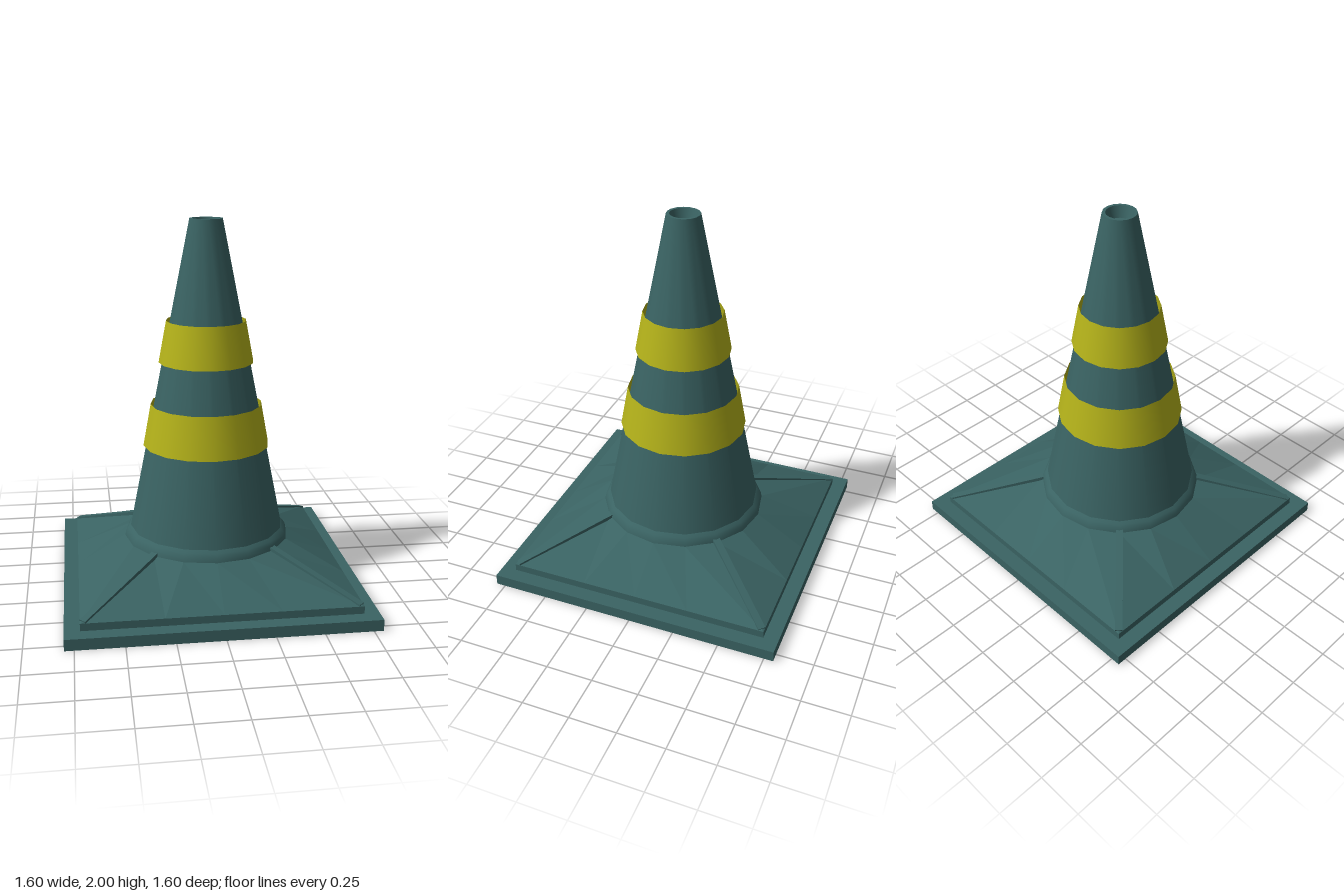
import * as THREE from 'three';

const SIDES = 16;
const teal = new THREE.MeshStandardMaterial({ color: 0x3a6363 });
const tealFlat = new THREE.MeshStandardMaterial({ color: 0x3a6363, flatShading: true });
const yellow = new THREE.MeshStandardMaterial({ color: 0xb5b31a, side: THREE.DoubleSide });

function add(parent, name, geometry, material) {
  const mesh = new THREE.Mesh(geometry, material);
  mesh.name = name;
  parent.add(mesh);
  return mesh;
}

// Surface of revolution; profile is [radius, height] pairs
function lathe(profile) {
  return new THREE.LatheGeometry(profile.map(([r, y]) => new THREE.Vector2(r, y)), SIDES);
}

// Loft from a square outline up to a round one
function skirtGeometry(half, y0, radius, y1) {
  const positions = [];
  const index = [];
  for (let i = 0; i <= SIDES; i++) {
    const a = (i / SIDES) * Math.PI * 2;
    const s = Math.sin(a), c = Math.cos(a);
    const k = half / Math.max(Math.abs(s), Math.abs(c));
    positions.push(s * k, y0, c * k, s * radius, y1, c * radius);
    if (i < SIDES) {
      const p = i * 2;
      index.push(p, p + 2, p + 1, p + 2, p + 3, p + 1);
    }
  }
  const g = new THREE.BufferGeometry();
  g.setAttribute('position', new THREE.Float32BufferAttribute(positions, 3));
  g.setIndex(index);
  g.computeVertexNormals();
  return g;
}

export function createModel() {
  const model = new THREE.Group();
  model.name = 'trafficCone';

  // Square foot: wide plate and a smaller step
  add(model, 'basePlate', new THREE.BoxGeometry(1.6, 0.06, 1.6), teal).position.y = 0.03;
  add(model, 'baseStep', new THREE.BoxGeometry(1.44, 0.05, 1.44), teal).position.y = 0.075;

  // Sloping skirt from the square step to the round collar
  add(model, 'skirt', skirtGeometry(0.72, 0.1, 0.455, 0.262), tealFlat);

  // Raised ribs along the four skirt corners
  const ribs = new THREE.Group();
  ribs.name = 'cornerRibs';
  for (const sx of [-1, 1]) {
    for (const sz of [-1, 1]) {
      const from = new THREE.Vector3(0.705 * sx, 0.097, 0.705 * sz);
      const to = new THREE.Vector3(0.31 * sx, 0.27, 0.31 * sz);
      const rib = add(ribs, 'cornerRib', new THREE.BoxGeometry(0.04, 0.026, from.distanceTo(to)), teal);
      rib.position.copy(from).lerp(to, 0.5);
      rib.lookAt(to);
    }
  }
  model.add(ribs);

  // Rounded collar and tapering body
  add(model, 'collar', lathe([[0.455, 0.26], [0.45, 0.285], [0.437, 0.305], [0.422, 0.32]]), teal);
  add(model, 'body', lathe([[0.422, 0.32], [0.088, 2]]), teal);

  // Rim and shallow recess at the tip
  add(model, 'rim', lathe([[0.088, 2], [0.072, 2]]), teal);
  add(model, 'recessWall', lathe([[0.072, 2], [0.055, 1.94]]), teal);
  add(model, 'recessFloor', lathe([[0.055, 1.94], [0, 1.94]]), teal);

  // Loose reflective bands, open at both ends
  add(model, 'lowerBand', lathe([[0.345, 0.78], [0.303, 1.01]]), yellow);
  add(model, 'upperBand', lathe([[0.257, 1.24], [0.215, 1.465]]), yellow);

  return model;
}
